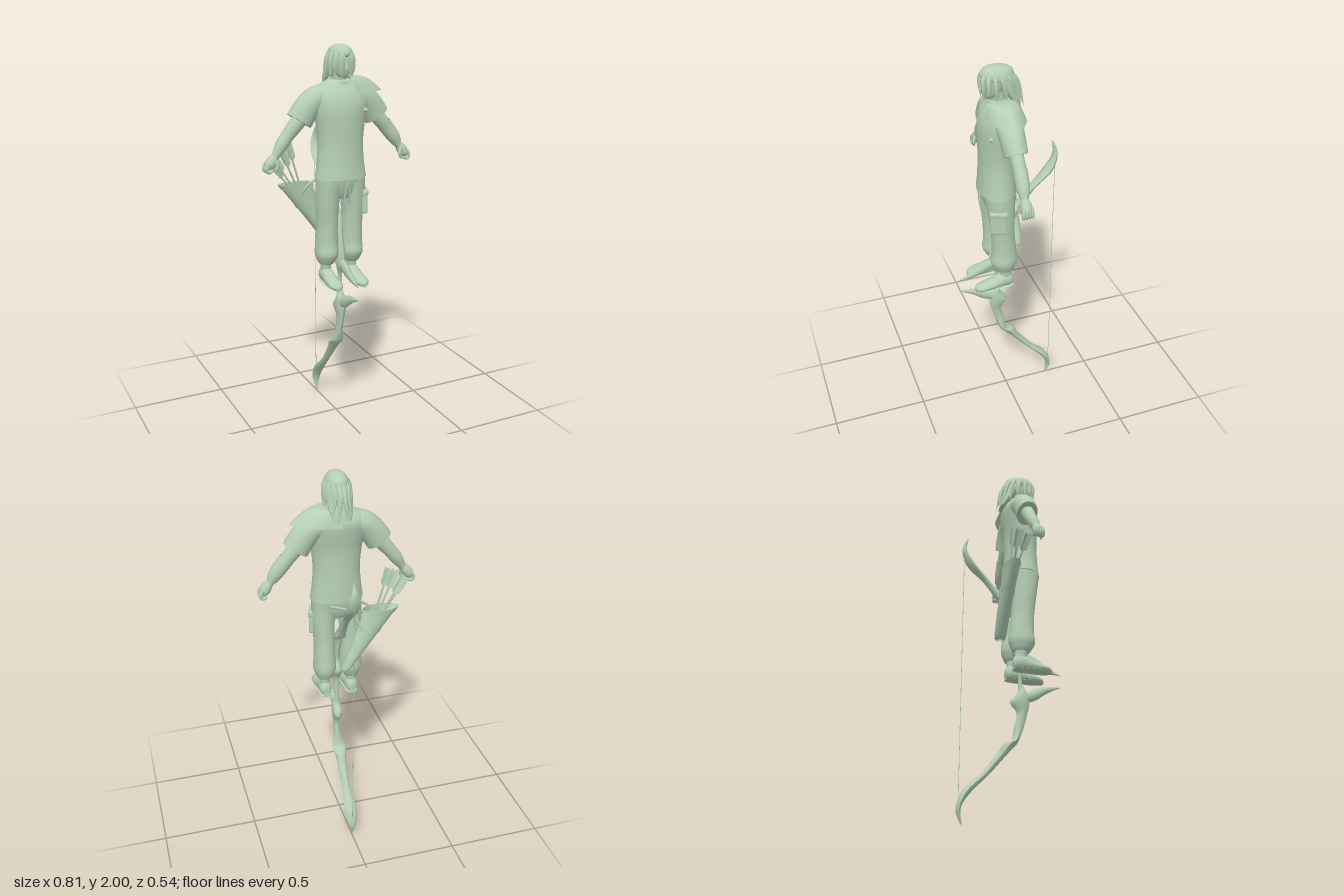
import * as THREE from 'three';
import { toCreasedNormals } from 'three/addons/utils/BufferGeometryUtils.js';
import { RoundedBoxGeometry } from 'three/addons/geometries/RoundedBoxGeometry.js';

const sage = new THREE.MeshStandardMaterial({ color: 0xb5cfb5, side: THREE.DoubleSide });
sage.name = 'sage green';

const AXES = { x: new THREE.Vector3(1, 0, 0), y: new THREE.Vector3(0, 1, 0), z: new THREE.Vector3(0, 0, 1) };

// Rings of [x, y, z, ru, rv] joined into a smooth skin. `up` fixes the ring normal,
// otherwise rings follow the path; `ref` is the direction of ru.
function sweep(rows, { seg = 16, steps = 4, up = null, ref = 'z', caps = true, crease = 0.8 } = {}) {
  const cr = (a, b, c, d, t) => 0.5 * (2 * b + (c - a) * t + (2 * a - 5 * b + 4 * c - d) * t * t + (3 * b - a - 3 * c + d) * t * t * t);
  const at = i => rows[Math.min(rows.length - 1, Math.max(0, i))];
  const rings = [];
  for (let i = 0; i < rows.length - 1; i++)
    for (let s = 0; s < steps; s++)
      rings.push(rows[i].map((_, k) => cr(at(i - 1)[k], at(i)[k], at(i + 1)[k], at(i + 2)[k], s / steps)));
  rings.push(rows[rows.length - 1]);
  const centre = i => new THREE.Vector3(...rings[Math.min(rings.length - 1, Math.max(0, i))].slice(0, 3));
  const pos = [], idx = [];
  rings.forEach((r, i) => {
    const t = up ? AXES[up] : centre(i + 1).sub(centre(i - 1)).normalize();
    const u = AXES[ref].clone().addScaledVector(t, -AXES[ref].dot(t)).normalize();
    const v = t.clone().cross(u);
    for (let j = 0; j < seg; j++) {
      const a = j / seg * Math.PI * 2;
      const p = centre(i).addScaledVector(u, Math.max(r[3], 0.0008) * Math.cos(a)).addScaledVector(v, Math.max(r[4], 0.0008) * Math.sin(a));
      pos.push(p.x, p.y, p.z);
    }
  });
  for (let i = 0; i < rings.length - 1; i++)
    for (let j = 0; j < seg; j++) {
      const a = i * seg + j, b = i * seg + (j + 1) % seg;
      idx.push(a, b, b + seg, a, b + seg, a + seg);
    }
  if (caps) {
    const n = pos.length / 3, last = (rings.length - 1) * seg;
    pos.push(...rings[0].slice(0, 3), ...rings[rings.length - 1].slice(0, 3));
    for (let j = 0; j < seg; j++) {
      const k = (j + 1) % seg;
      idx.push(n, k, j, n + 1, last + j, last + k);
    }
  }
  const g = new THREE.BufferGeometry();
  g.setAttribute('position', new THREE.Float32BufferAttribute(pos, 3));
  g.setIndex(idx);
  return toCreasedNormals(g, crease);
}

export function createModel() {
  const model = new THREE.Group();
  model.name = 'archer';
  const add = (name, geo, parent = model) => {
    const m = new THREE.Mesh(geo, sage);
    m.name = name;
    parent.add(m);
    return m;
  };
  const level = { up: 'y', seg: 28 };
  const cord = (name, pts, r) => add(name, new THREE.TubeGeometry(new THREE.CatmullRomCurve3(pts.map(p => new THREE.Vector3(...p))), 12, r, 6));

  // Shirt, belt and hips
  add('shirt', sweep([
    [0, 1.345, 0.052, 0.095, 0.137], [0, 1.42, 0.05, 0.09, 0.126], [0, 1.52, 0.05, 0.086, 0.12], [0, 1.62, 0.05, 0.087, 0.13],
    [0, 1.7, 0.043, 0.091, 0.148], [0, 1.76, 0.032, 0.085, 0.155], [0, 1.8, 0.028, 0.065, 0.12], [0, 1.83, 0.03, 0.045, 0.055]], level));
  add('belt', sweep([[0, 1.325, 0.052, 0.086, 0.128], [0, 1.35, 0.052, 0.09, 0.13]], level));
  add('hips', sweep([[0, 1.24, 0.05, 0.05, 0.06], [0, 1.28, 0.05, 0.068, 0.11], [0, 1.34, 0.052, 0.082, 0.125]], level));
  for (const s of [-1, 1])
    cord('beltTie', [[0, 1.335, 0.14], [s * 0.012, 1.28, 0.135], [s * 0.014, 1.19 + s * 0.02, 0.115]], 0.005);
  add('brooch', new THREE.OctahedronGeometry(0.016)).position.set(0.11, 1.68, 0.108);

  // Neck and collar
  add('neck', sweep([[0, 1.79, 0.03, 0.04, 0.042], [0, 1.83, 0.038, 0.034, 0.034], [0, 1.88, 0.045, 0.035, 0.034]], level));
  const collar = add('collar', new THREE.TorusGeometry(0.048, 0.008, 8, 24));
  collar.position.set(0, 1.825, 0.032);
  collar.rotation.x = Math.PI / 2 + 0.2;

  // Head and face
  add('head', sweep([
    [0, 1.842, 0.085, 0.016, 0.016], [0, 1.858, 0.073, 0.037, 0.032], [0, 1.895, 0.06, 0.058, 0.044],
    [0, 1.935, 0.052, 0.066, 0.049], [0, 1.97, 0.05, 0.058, 0.042], [0, 1.988, 0.05, 0.03, 0.02]], level));
  add('nose', sweep([[0, 1.89, 0.118, 0.014, 0.01], [0, 1.9, 0.116, 0.013, 0.007], [0, 1.93, 0.112, 0.006, 0.005]], { up: 'y', seg: 8 }));

  // Hair: crown, back fall and separate pointed locks
  add('hairCrown', sweep([
    [0, 1.93, 0.03, 0.066, 0.056], [0, 1.95, 0.043, 0.082, 0.059], [0, 1.975, 0.045, 0.076, 0.05], [0, 1.992, 0.048, 0.052, 0.033], [0, 2.0, 0.05, 0.012, 0.01]], level));
  add('hairBack', sweep([
    [0, 1.79, -0.056, 0.012, 0.045], [0, 1.83, -0.035, 0.025, 0.058], [0, 1.88, -0.01, 0.034, 0.06],
    [0, 1.93, 0.01, 0.045, 0.056], [0, 1.97, 0.025, 0.04, 0.036]], level));
  [0.42, 0.85, 1.3, 1.75, 2.15, 2.55, 2.95].forEach((a, i) => [-1, 1].forEach(s => {
    const x = s * 0.054 * Math.sin(a), z = 0.045 + 0.076 * Math.cos(a), back = Math.max(0, a - 1.2) / 1.8;
    const end = 1.845 - 0.06 * back + (i % 2) * 0.015;
    add('hairLock', sweep([
      [x * 0.35, 1.984, 0.05 + (z - 0.05) * 0.5, 0.012, 0.012], [x * 0.95, 1.945, z, 0.016, 0.014],
      [x * 1.1, 1.89, z - 0.03 * back, 0.014, 0.012], [x * 1.15 + s * 0.015 * back, end, z - 0.052 * back, 0.001, 0.001]], { seg: 6, ref: 'x' }));
  }));

  for (const s of [-1, 1]) {
    const side = s > 0 ? 'left' : 'right';
    const m = rows => rows.map(([x, ...r]) => [s * x, ...r]);

    // Sleeve, arm and hand
    add(side + 'Sleeve', sweep(m([
      [0.05, 1.755, 0.03, 0.06, 0.05], [0.12, 1.742, 0.028, 0.064, 0.062], [0.172, 1.695, 0.026, 0.06, 0.067], [0.212, 1.637, 0.025, 0.056, 0.069]]), { seg: 20 }));
    add(side + 'Arm', sweep(m([
      [0.19, 1.665, 0.025, 0.036, 0.04], [0.237, 1.612, 0.025, 0.033, 0.038], [0.275, 1.568, 0.024, 0.03, 0.033],
      [0.308, 1.525, 0.027, 0.03, 0.032], [0.34, 1.478, 0.03, 0.02, 0.021], [0.355, 1.458, 0.03, 0.02, 0.02]])));
    add(side + 'Palm', sweep(m([
      [0.345, 1.475, 0.03, 0.019, 0.018], [0.36, 1.455, 0.03, 0.027, 0.026], [0.378, 1.43, 0.03, 0.029, 0.025], [0.386, 1.418, 0.03, 0.022, 0.014]])));
    for (let i = 0; i < 4; i++) {
      const z = 0.008 + i * 0.0145;
      add(side + 'Finger', sweep(m([
        [0.382, 1.445, z, 0.008, 0.009], [0.396, 1.42, z, 0.008, 0.009], [0.385, 1.401, z, 0.008, 0.008], [0.364, 1.409, z, 0.006, 0.006]]), { seg: 8 }));
    }
    add(side + 'Thumb', sweep(m([[0.352, 1.462, 0.046, 0.01, 0.012], [0.34, 1.432, 0.055, 0.009, 0.01], [0.35, 1.405, 0.053, 0.005, 0.006]]), { seg: 8 }));

    // Baggy trouser leg, ankle and shoe
    add(side + 'TrouserLeg', sweep(m([
      [0.072, 0.89, 0.03, 0.046, 0.038], [0.071, 0.905, 0.032, 0.055, 0.047], [0.07, 0.945, 0.035, 0.07, 0.06], [0.07, 1.0, 0.034, 0.065, 0.057],
      [0.07, 1.1, 0.04, 0.061, 0.054], [0.071, 1.2, 0.046, 0.066, 0.058], [0.068, 1.3, 0.052, 0.074, 0.062], [0.064, 1.345, 0.052, 0.08, 0.065]]), level));
    add(side + 'Ankle', sweep(m([[0.073, 0.82, 0.028, 0.034, 0.028], [0.073, 0.86, 0.028, 0.031, 0.026], [0.072, 0.9, 0.03, 0.034, 0.03]]), level));
    add(side + 'Shoe', sweep(m([
      [0.072, 0.82, -0.012, 0.02, 0.026], [0.072, 0.826, 0.005, 0.031, 0.041], [0.072, 0.826, 0.045, 0.034, 0.042], [0.073, 0.812, 0.1, 0.037, 0.03],
      [0.074, 0.804, 0.155, 0.037, 0.021], [0.073, 0.8, 0.182, 0.025, 0.016], [0.073, 0.798, 0.195, 0.008, 0.008]]), { up: 'z', ref: 'x', seg: 18 }));
    add(side + 'Sole', sweep(m([
      [0.072, 0.788, -0.013, 0.018, 0.006], [0.072, 0.788, 0.01, 0.031, 0.006], [0.073, 0.788, 0.06, 0.033, 0.006],
      [0.074, 0.788, 0.14, 0.037, 0.006], [0.073, 0.788, 0.193, 0.012, 0.006]]), { up: 'z', ref: 'x', seg: 10 }));
  }

  // Thigh pocket and forearm guard on the left side
  const pocket = new THREE.Group();
  pocket.name = 'thighPocket';
  add('pocketBag', new RoundedBoxGeometry(0.03, 0.12, 0.085, 2, 0.01), pocket);
  add('pocketFlap', new RoundedBoxGeometry(0.035, 0.028, 0.09, 2, 0.008), pocket).position.y = 0.052;
  pocket.position.set(0.12, 1.21, 0.08);
  pocket.rotation.y = -0.35;
  model.add(pocket);
  add('forearmGuard', sweep([
    [0.258, 1.59, 0.025, 0.036, 0.038], [0.278, 1.566, 0.025, 0.034, 0.038], [0.312, 1.522, 0.027, 0.033, 0.035], [0.335, 1.487, 0.029, 0.025, 0.026]], { caps: false }));

  // Pointed mantle draped over the left shoulder
  const curve = pts => new THREE.CatmullRomCurve3(pts.map(p => new THREE.Vector3(...p)));
  const inner = curve([[0.03, 1.822, 0.09], [0.052, 1.835, 0.055], [0.056, 1.838, 0.03], [0.045, 1.835, 0], [0, 1.82, -0.03]]);
  const outer = curve([[0.05, 1.77, 0.125], [0.145, 1.765, 0.104], [0.237, 1.765, 0.03], [0.145, 1.765, -0.052], [0, 1.755, -0.068]]);
  const mantle = new THREE.PlaneGeometry(1, 1, 24, 8), mp = mantle.attributes.position;
  for (let i = 0; i < mp.count; i++) {
    const u = mp.getX(i) + 0.5, v = 0.5 - mp.getY(i);
    const p = inner.getPoint(u).lerp(outer.getPoint(u), v);
    mp.setXYZ(i, p.x, p.y + 0.03 * Math.sin(Math.PI * v), p.z);
  }
  mantle.computeVertexNormals();
  add('shoulderMantle', mantle);

  // Quiver on the right hip, with rim, strap and arrows
  add('quiver', sweep([
    [-0.012, 0.968, -0.066, 0.018, 0.015], [-0.02, 0.985, -0.066, 0.03, 0.026], [-0.08, 1.09, -0.066, 0.034, 0.045],
    [-0.145, 1.2, -0.063, 0.036, 0.066], [-0.2, 1.3, -0.06, 0.039, 0.09]], { ...level, caps: false }));
  add('quiverRim', sweep([[-0.189, 1.28, -0.06, 0.041, 0.089], [-0.202, 1.305, -0.06, 0.043, 0.095]], { ...level, caps: false }));
  add('quiverBand', sweep([[-0.127, 1.17, -0.064, 0.038, 0.063], [-0.139, 1.19, -0.064, 0.039, 0.067]], { ...level, caps: false }));
  cord('quiverStrap', [[-0.1, 1.335, -0.01], [-0.16, 1.29, -0.015], [-0.19, 1.21, -0.05]], 0.007);
  cord('quiverStrap', [[0.06, 1.335, -0.035], [-0.04, 1.3, -0.055], [-0.1, 1.2, -0.09]], 0.007);
  for (const [x, y, z] of [[-0.345, 1.425, -0.012], [-0.32, 1.455, -0.055], [-0.285, 1.485, -0.035], [-0.24, 1.515, -0.06]]) {
    const tip = new THREE.Vector3(x, y, z), foot = new THREE.Vector3(-0.1 + x * 0.2, 1.2, -0.06);
    const arrow = new THREE.Group(), len = tip.distanceTo(foot);
    arrow.name = 'arrow';
    add('arrowShaft', new THREE.CylinderGeometry(0.005, 0.005, len, 6), arrow).position.y = len / 2;
    const vane = new THREE.Shape([[0, -0.1], [0.02, -0.08], [0.022, 0.008], [0, -0.008]].map(p => new THREE.Vector2(...p)));
    for (let i = 0; i < 3; i++) {
      const f = add('arrowVane', new THREE.ExtrudeGeometry(vane, { depth: 0.003, bevelEnabled: false }), arrow);
      f.position.y = len;
      f.rotation.y = i * Math.PI * 2 / 3;
    }
    arrow.position.copy(foot);
    arrow.quaternion.setFromUnitVectors(AXES.y, tip.sub(foot).normalize());
    model.add(arrow);
  }

  // Bow: two mirrored limbs of [y, zFront, zBack, halfWidth], spikes and string
  const limb = [
    [0.005, -0.24, -0.25, 0.002], [0.06, -0.25, -0.272, 0.016], [0.11, -0.238, -0.268, 0.028], [0.175, -0.19, -0.238, 0.033], [0.255, -0.113, -0.155, 0.02],
    [0.36, -0.025, -0.075, 0.025], [0.414, 0.022, -0.043, 0.034], [0.435, 0.037, 0, 0.034], [0.504, 0.062, 0.012, 0.019], [0.583, 0.083, 0.028, 0.019],
    [0.637, 0.095, -0.01, 0.028], [0.69, 0.085, 0.03, 0.026], [0.735, 0.06, 0.035, 0.013], [0.78, 0.056, 0.036, 0.012]];
  const spike = [[0.665, 0.06, 0.02, 0.03], [0.695, 0.13, 0.017, 0.033], [0.725, 0.19, 0.011, 0.019], [0.747, 0.265, 0.001, 0.002]];
  for (const upper of [false, true]) {
    const name = upper ? 'upper' : 'lower', flip = y => upper ? 1.56 - y : y;
    const rows = limb.map(([y, f, b, w]) => [0, flip(y), (f + b) / 2, (f - b) / 2, w]);
    add(name + 'BowLimb', sweep(upper ? rows.reverse() : rows, { up: 'y', seg: 8, steps: 3 }));
    add(name + 'BowSpike', sweep(spike.map(([y, z, w, h]) => [0, flip(y), z, w, h]), { up: 'z', ref: 'x', seg: 8 }));
  }
  add('bowString', new THREE.CylinderGeometry(0.0015, 0.0015, 1.44, 6)).position.set(0, 0.78, -0.262);

  return model;
}
